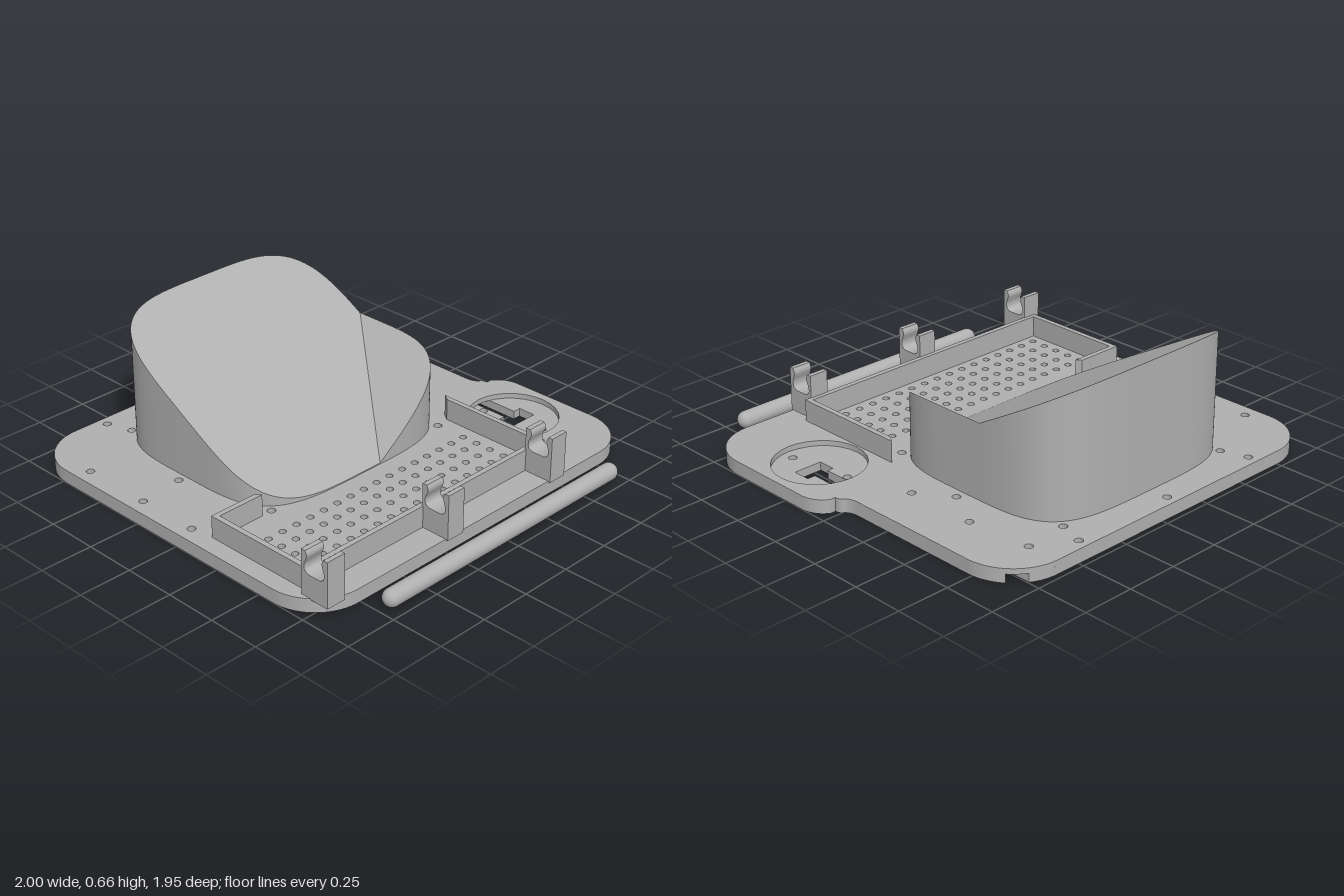
import * as THREE from 'three';
import { toCreasedNormals } from 'three/addons/utils/BufferGeometryUtils.js';

const PLATE_TOP = 0.065, FLOOR = 0.04;

export function createModel() {
  const model = new THREE.Group();
  const grey = new THREE.MeshStandardMaterial({ color: 0xb0b0b0 });
  const add = (name, geometry) => {
    const mesh = new THREE.Mesh(geometry, grey);
    mesh.name = name;
    model.add(mesh);
    return mesh;
  };
  const toShape = pts => new THREE.Shape(pts.map(p => new THREE.Vector2(p[0], p[1])));

  // Extrudes a plan drawn in (x, z) between two heights
  const slab = (shape, y0, y1) => {
    const g = new THREE.ExtrudeGeometry(shape, { depth: y1 - y0, bevelEnabled: false, curveSegments: 14 });
    return g.rotateX(Math.PI / 2).translate(0, y1, 0);
  };
  const smooth = g => toCreasedNormals(g, 0.5);

  // Plate outline; the lower layer carries a cable groove ending in a T slot
  const plateOutline = groove => {
    const s = new THREE.Shape(), P = Math.PI;
    s.moveTo(-0.75, -0.975);
    s.lineTo(0.62, -0.975);
    if (groove) {
      s.absarc(0.62, -0.725, 0.25, -P / 2, -P / 3);
      [[0.745, 0.28], [0.715, 0.28], [0.715, 0.365], [0.855, 0.365], [0.855, 0.28], [0.815, 0.28]]
        .forEach(p => s.lineTo(p[0], p[1]));
      s.absarc(0.62, -0.725, 0.25, -Math.acos(0.78), 0);
    } else {
      s.absarc(0.62, -0.725, 0.25, -P / 2, 0);
    }
    s.lineTo(0.87, -0.06);
    s.quadraticCurveTo(0.875, -0.01, 0.9, 0);
    s.quadraticCurveTo(0.91, 0.01, 0.91, 0.03);
    s.lineTo(0.935, 0.03);
    s.quadraticCurveTo(0.99, 0.06, 1, 0.13);
    s.absarc(0.76, 0.58, 0.24, 0, P / 2);
    s.absarc(-0.76, 0.58, 0.24, P / 2, P);
    s.absarc(-0.75, -0.725, 0.25, P, 1.5 * P);
    return s;
  };
  const drill = (shape, x, z, r) => {
    const h = new THREE.Path();
    h.absarc(x, z, r, 0, Math.PI * 2, true);
    shape.holes.push(h);
  };

  // Screw holes and the tray's drainage grid
  const screws = [[-0.61, -0.925], [-0.08, -0.925], [0.45, -0.925], [0.625, -0.82], [-0.57, -0.8],
    [0.41, -0.8], [-0.93, -0.645], [0.655, -0.51], [-0.71, -0.315], [0.545, -0.315], [-0.93, -0.29],
    [0.655, -0.16], [-0.93, 0.02], [-0.6, 0.15], [0.435, 0.15]];
  const lower = plateOutline(true), upper = plateOutline(false);
  for (const s of [lower, upper]) {
    screws.forEach(([x, z]) => drill(s, x, z, 0.019));
    for (let i = 0; i < 17; i++)
      for (let j = 0; j < 5; j++) drill(s, -0.84 + i * 0.0797, 0.303 + j * 0.079, 0.016);
  }
  drill(lower, 0.723, 0.175, 0.019);
  drill(lower, 0.775, 0.48, 0.019);
  drill(upper, 0.75, 0.328, 0.21); // round recess
  add('basePlateLower', smooth(slab(lower, 0, FLOOR)));
  add('basePlateUpper', smooth(slab(upper, FLOOR, PLATE_TOP)));

  // Palm block: rounded plan whose top is two sloping planes meeting at a crease
  const backSlope = (x, z) => 0.187 - 0.57 * z;
  const sideSlope = (x, z) => 0.07 + 0.7 * x;
  const ring = [];
  for (let i = 0; i < 120; i++) {
    const a = (i / 120) * Math.PI * 2, c = Math.cos(a), s = Math.sin(a);
    ring.push([-0.085 + 0.585 * Math.sign(c) * Math.sqrt(Math.abs(c)),
      -0.315 + 0.52 * Math.sign(s) * Math.sqrt(Math.abs(s))]);
  }
  const clip = (pts, f) => {
    const out = [];
    pts.forEach((p, i) => {
      const q = pts[(i + 1) % pts.length], a = f(...p), b = f(...q);
      if (a >= 0) out.push(p);
      if (a * b < 0) {
        const t = a / (a - b);
        out.push([p[0] + t * (q[0] - p[0]), p[1] + t * (q[1] - p[1])]);
      }
    });
    return out;
  };
  const blockPart = (name, top, other) => {
    const g = slab(toShape(clip(ring, (x, z) => top(x, z) - other(x, z))), 0.05, 1);
    const p = g.attributes.position;
    for (let i = 0; i < p.count; i++)
      if (p.getY(i) > 0.5) p.setY(i, top(p.getX(i), p.getZ(i)));
    add(name, smooth(g));
  };
  blockPart('palmBlockMain', backSlope, sideSlope);
  blockPart('palmBlockCorner', sideSlope, backSlope);

  // Tray rim, open at the back
  add('trayRim', slab(toShape([[-0.675, 0.13], [-0.915, 0.13], [-0.915, 0.69], [0.53, 0.69], [0.53, 0.105],
    [0.505, 0.14], [0.505, 0.665], [-0.89, 0.665], [-0.89, 0.155], [-0.655, 0.155]]), 0.06, 0.168));

  // Three clips, profile drawn in (z, y)
  const profile = new THREE.Shape();
  profile.moveTo(0.685, 0.06);
  profile.lineTo(0.83, 0.06);
  profile.lineTo(0.83, 0.275);
  profile.lineTo(0.808, 0.275);
  profile.splineThru([[0.799, 0.255], [0.803, 0.235], [0.811, 0.21], [0.808, 0.185], [0.79, 0.172]]
    .map(p => new THREE.Vector2(...p)));
  profile.lineTo(0.725, 0.172);
  profile.splineThru([[0.704, 0.185], [0.701, 0.21], [0.711, 0.235], [0.716, 0.255], [0.708, 0.275]]
    .map(p => new THREE.Vector2(...p)));
  profile.lineTo(0.685, 0.275);
  const clipGeometry = smooth(new THREE.ExtrudeGeometry(profile, { depth: 0.095, bevelEnabled: false, curveSegments: 4 })
    .rotateY(-Math.PI / 2).translate(0.0475, 0, 0));
  [-0.895, -0.203, 0.452].forEach((x, i) => {
    add('clip' + (i + 1), clipGeometry).position.x = x;
  });

  // Loose rod lying in front
  add('rod', new THREE.CapsuleGeometry(0.041, 1.37, 10, 28).rotateZ(Math.PI / 2)).position.set(0, 0.041, 0.929);

  return model;
}
